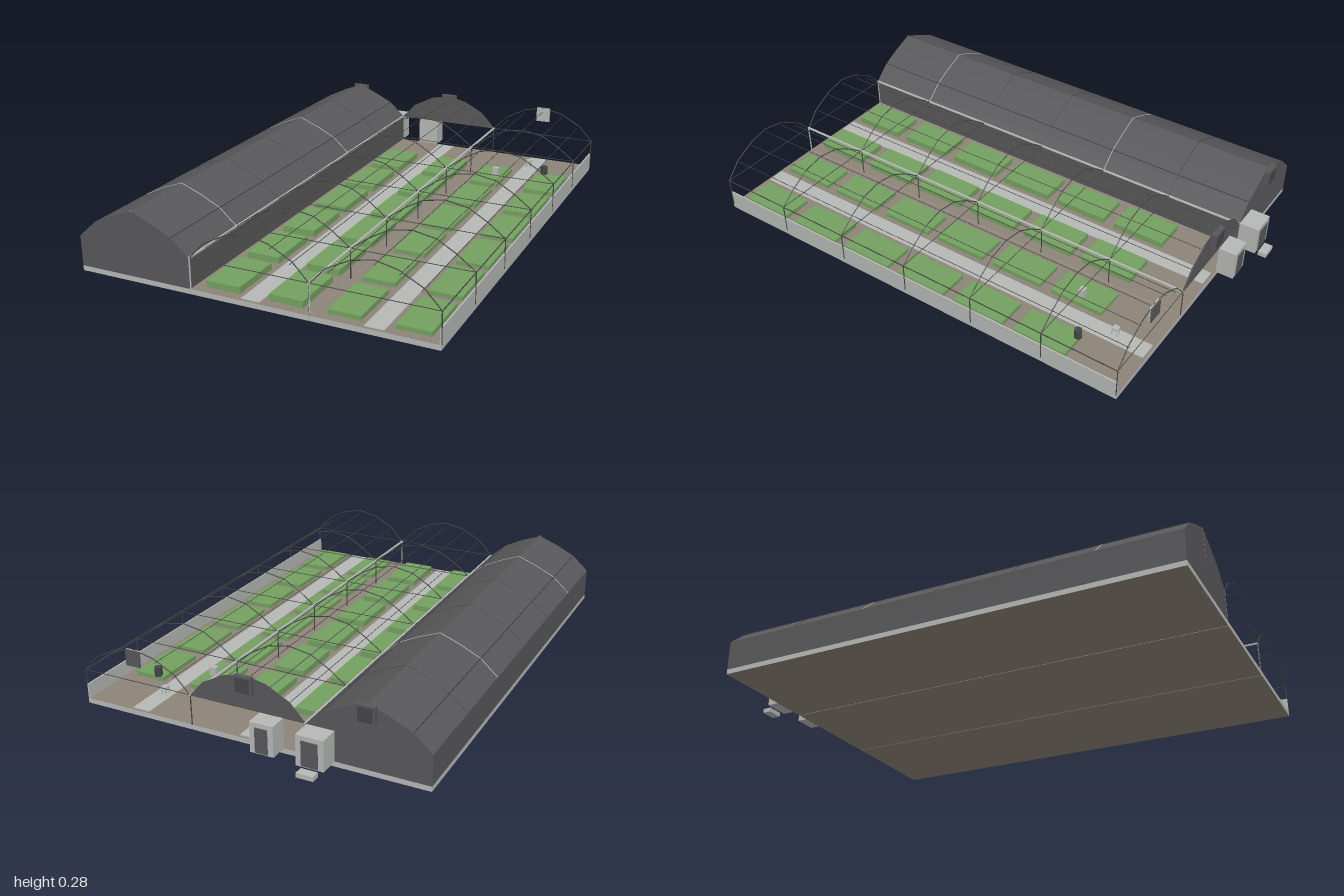
import * as THREE from 'three';

const mat = (name, color) => {
  const m = new THREE.MeshStandardMaterial({ color });
  m.name = name;
  return m;
};

export function createModel() {
  const root = new THREE.Group();
  root.name = 'greenhouse';
  const light = mat('lightGrey', 0xb6b8b6);
  const dark = mat('darkCladding', 0x58585a);
  const soil = mat('soilBrown', 0x8d8478);
  const green = mat('cropGreen', 0x74a160);
  const pipe = mat('pipeGrey', 0x464648);

  const add = (name, geometry, material, parent = root) => {
    const m = new THREE.Mesh(geometry, material);
    m.name = name;
    parent.add(m);
    return m;
  };
  // box given by its limits on each axis
  const box = (name, x0, x1, y0, y1, z0, z1, material, parent) => {
    const m = add(name, new THREE.BoxGeometry(x1 - x0, y1 - y0, z1 - z0), material, parent);
    m.position.set((x0 + x1) / 2, (y0 + y1) / 2, (z0 + z1) / 2);
    return m;
  };
  // thin round bar between two points
  const bar = (name, a, b, r, material, parent) => {
    const p = new THREE.Vector3(...a), q = new THREE.Vector3(...b);
    const d = q.clone().sub(p);
    const m = add(name, new THREE.CylinderGeometry(r, r, d.length(), 6), material, parent);
    m.position.copy(p).add(q).multiplyScalar(0.5);
    m.quaternion.setFromUnitVectors(new THREE.Vector3(0, 1, 0), d.normalize());
  };
  const mirrorProfile = half => [...half.map(([x, y]) => [-x, y]), ...half.slice(0, -1).reverse()];
  const prism = (points, depth) => new THREE.ExtrudeGeometry(
    new THREE.Shape(points.map(p => new THREE.Vector2(...p))), { depth, bevelEnabled: false });

  const BACK = -0.88, FRONT = 1, EAVE = 0.14, HALF = 0.236;
  const bays = [-0.474, 0, 0.474];
  const frames = Array.from({ length: 7 }, (_, i) => BACK + 0.002 + i * (FRONT - BACK - 0.004) / 6);
  const clad = mirrorProfile([[HALF, EAVE], [0.165, 0.203], [0.085, 0.242], [0, 0.275]]);
  const arch = mirrorProfile([[HALF, EAVE], [0.175, 0.205], [0.085, 0.252], [0, 0.27]]);
  const innerArch = mirrorProfile([[HALF, EAVE], [0.165, 0.193], [0.09, 0.236], [0, 0.252]]);

  // floor slabs: grey edges, brown top and underside
  bays.forEach(x => box('floorSlab', x - HALF, x + HALF, 0, 0.02, BACK, FRONT,
    [light, light, soil, soil, light, light]));
  [0, 0.47].forEach(x => box('aisle', x - 0.037, x + 0.037, 0.02, 0.023, BACK + 0.01, FRONT - 0.01, light));

  // fully clad bay
  const covered = new THREE.Group();
  covered.name = 'coveredBay';
  covered.position.x = bays[0];
  root.add(covered);
  add('cladding', prism([[HALF, 0.02], ...[...clad].reverse(), [-HALF, 0.02]], FRONT - BACK), dark, covered)
    .position.z = BACK;
  box('frontMullion', -0.002, 0.002, EAVE, 0.277, FRONT - 0.003, FRONT, light, covered);
  frames.slice(1, -1).forEach((z, i) => {
    for (let k = 0; k < clad.length - 1; k++) {
      bar('roofSeam', [...clad[k], z], [...clad[k + 1], z], 0.0018, i % 3 === 1 || i === 4 ? light : pipe, covered);
    }
  });
  [[0.165, 0.203], [-0.165, 0.203]].forEach(p =>
    bar('roofPurlin', [...p, BACK], [...p, FRONT], 0.002, pipe, covered));

  // open bays: hoops, purlins, tie beams and posts
  bays.slice(1).forEach(cx => {
    const bay = new THREE.Group();
    bay.name = 'openBay';
    bay.position.x = cx;
    root.add(bay);
    frames.forEach((z, i) => {
      const end = i === 0 || i === frames.length - 1;
      const profile = end ? arch : innerArch;
      for (let k = 0; k < profile.length - 1; k++) {
        bar('hoop', [...profile[k], z], [...profile[k + 1], z], 0.002, pipe, bay);
      }
      bar('tieBeam', [-HALF, EAVE, z], [HALF, EAVE, z], 0.0014, pipe, bay);
      bar('post', [HALF, 0.02, z], [HALF, EAVE, z], 0.0022, pipe, bay);
    });
    innerArch.slice(1, -1).forEach(p =>
      bar('purlin', [...p, BACK], [...p, FRONT], 0.0012, pipe, bay));
    bar('eaveRail', [HALF, EAVE, BACK], [HALF, EAVE, FRONT], 0.002, pipe, bay);
  });
  [-0.237, 0.237].forEach(x => {
    box('gutter', x - 0.004, x + 0.004, EAVE - 0.003, EAVE + 0.003, BACK, FRONT, light);
    box('gutterPost', x - 0.002, x + 0.002, 0.02, EAVE, FRONT - 0.004, FRONT, light);
  });

  // low side wall and the rear gable of the middle bay
  box('lowSideWall', 0.704, 0.71, 0.02, 0.08, BACK, FRONT, light);
  add('rearGable', prism([...arch].reverse(), 0.006), dark).position.z = BACK;

  // gable fans
  [-0.474, 0].forEach(x => {
    box('fanHousing', x - 0.036, x + 0.036, 0.205, 0.274, -0.9, BACK, dark);
    box('fanGrille', x - 0.028, x + 0.028, 0.212, 0.267, -0.903, -0.9, pipe);
  });
  box('ventPanel', 0.444, 0.506, 0.206, 0.27, -0.882, -0.876, light);
  box('ventLouvre', 0.444, 0.506, 0.206, 0.27, -0.888, -0.882, dark);

  // rear entrance porches with doors
  [[-0.35, -0.242, -0.96], [-0.15, -0.056, -0.952]].forEach(([x0, x1, z]) => {
    box('porch', x0, x1, 0.02, EAVE, z, BACK, light);
    box('porchDoor', x0 + 0.022, x1 - 0.022, 0.025, 0.122, z - 0.004, z, dark);
  });
  box('doorStep', -0.33, -0.264, 0, 0.018, -1, -0.965, light);

  // planting beds
  [[-0.195, -0.06, 0.046], [0.058, 0.192, 0.046], [0.284, 0.41, 0.038], [0.536, 0.664, 0.038]]
    .forEach(([x0, x1, top]) => {
      for (let i = 0; i < 6; i++) {
        const z = -0.637 + i * 0.275;
        box('plantingBed', x0, x1, 0.02, top, z, z + 0.223, green);
      }
    });

  // control box, stool and water tank
  box('controlBox', 0.355, 0.383, 0.036, 0.073, -0.54, -0.518, light);
  box('stoolSeat', 0.449, 0.472, 0.05, 0.058, -0.742, -0.718, light);
  [0.451, 0.47].forEach(x => [-0.74, -0.72].forEach(z =>
    bar('stoolLeg', [x, 0.02, z], [x, 0.052, z], 0.002, light)));
  bar('waterTank', [0.563, 0.036, -0.63], [0.563, 0.075, -0.63], 0.016, pipe);

  return root;
}
